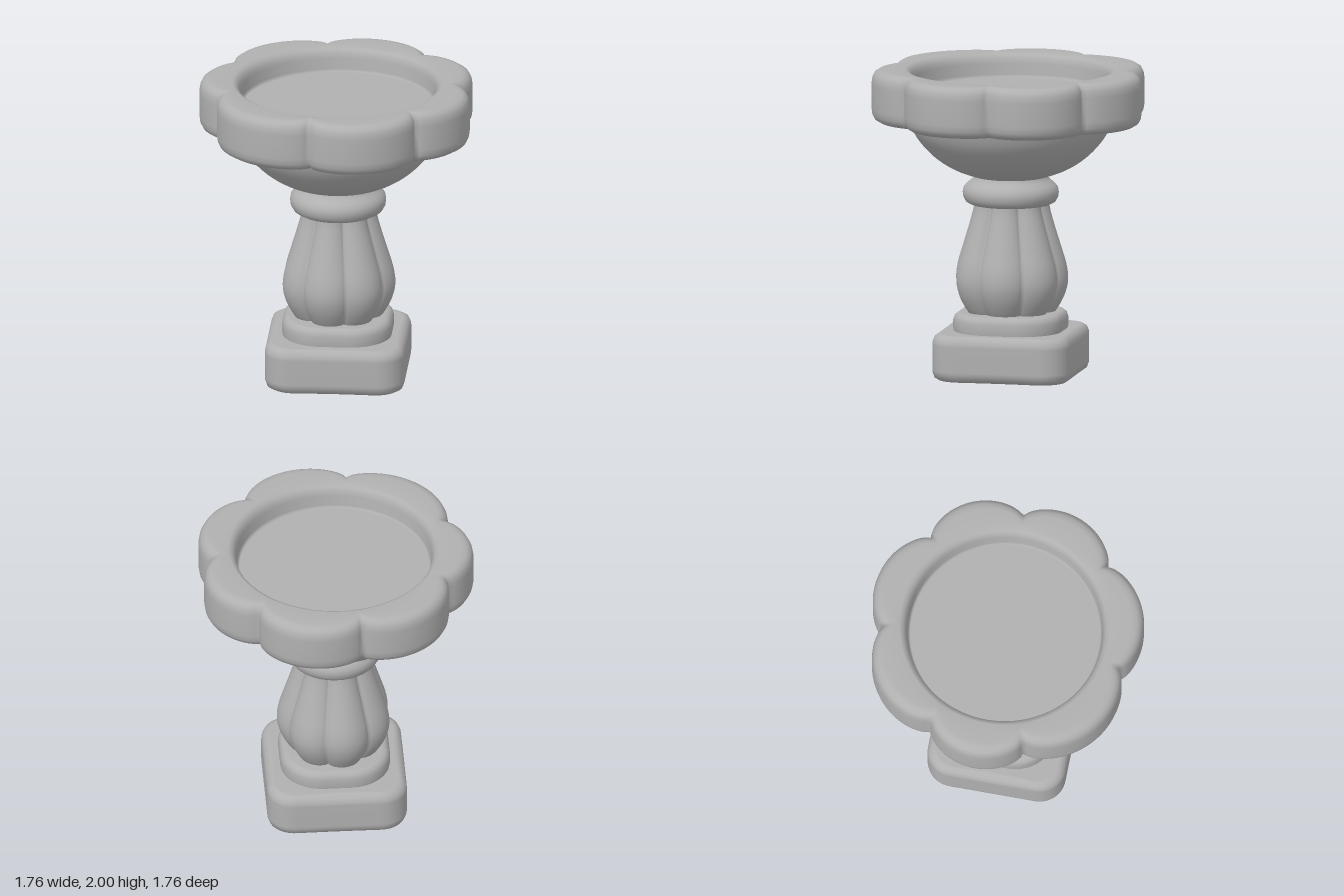
import * as THREE from 'three';

// Closed loft: profile points are [radius, y, weight]; weight scales the shape's extra radius
function loft(profile, extra = () => 0, segments = 140) {
  const pos = [], index = [];
  profile.forEach(([r, y, w = 0]) => {
    for (let j = 0; j < segments; j++) {
      const a = (j / segments) * Math.PI * 2;
      const radius = r + w * extra(a);
      pos.push(radius * Math.cos(a), y, radius * Math.sin(a));
    }
  });
  for (let i = 0; i < profile.length - 1; i++) {
    for (let j = 0; j < segments; j++) {
      const k = (j + 1) % segments;
      const a = i * segments + j, b = i * segments + k;
      const c = a + segments, d = b + segments;
      if (profile[i][0] > 0) index.push(a, d, b);
      if (profile[i + 1][0] > 0) index.push(a, c, d);
    }
  }
  const geo = new THREE.BufferGeometry();
  geo.setAttribute('position', new THREE.Float32BufferAttribute(pos, 3));
  geo.setIndex(index);
  geo.computeVertexNormals();
  return geo;
}

// Extra polar radius of a square with rounded corners over its half width
function roundedSquare(half, corner) {
  const inner = half - corner;
  return (a) => {
    const c = Math.abs(Math.cos(a)), s = Math.abs(Math.sin(a));
    const big = Math.max(c, s), small = Math.min(c, s);
    if ((half * small) / big <= inner) return half / big - half;
    const dot = inner * (c + s);
    return dot + Math.sqrt(dot * dot - 2 * inner * inner + corner * corner) - half;
  };
}

// Seven uneven petals between the notch angles (degrees)
const notches = [-2, 46.6, 99.6, 160.6, 206.6, 260.4, 312, 358, 406.6];
function petals(a) {
  const deg = (a * 180) / Math.PI;
  const i = notches.findIndex((n, k) => deg >= n && deg < notches[k + 1]);
  const t = (deg - notches[i]) / (notches[i + 1] - notches[i]);
  return 0.12 * Math.pow(Math.max(0, Math.sin(Math.PI * t)), 0.6);
}

// Seven soft flutes, crest on +x
const flutes = (a) => Math.pow(Math.abs(Math.cos(3.5 * a)), 0.7) - 1;

export function createModel() {
  const group = new THREE.Group();
  const stone = new THREE.MeshStandardMaterial({ color: 0xb0b0b0 });
  stone.name = 'grey stone';
  const add = (name, geo) => {
    const mesh = new THREE.Mesh(geo, stone);
    mesh.name = name;
    group.add(mesh);
  };

  // Square foot with softened edges
  add('base', loft([
    [0, 0], [0.39, 0, 1], [0.41, 0.003, 1], [0.437, 0.018, 1], [0.45, 0.05, 1], [0.452, 0.07, 1],
    [0.452, 0.235, 1], [0.45, 0.255, 1], [0.437, 0.285, 1], [0.41, 0.3, 1], [0.39, 0.303, 1], [0, 0.303],
  ], roundedSquare(0.45, 0.17)));

  // Step between foot and stem
  add('plinth', loft([
    [0.35, 0.29, 1], [0.355, 0.32, 1], [0.355, 0.37, 1], [0.345, 0.4, 1],
    [0.325, 0.415, 1], [0.3, 0.42, 1], [0, 0.42],
  ], roundedSquare(0.355, 0.27)));

  // Fluted vase-shaped stem
  const stemCurve = new THREE.SplineCurve([
    [0.275, 0.4], [0.31, 0.45], [0.35, 0.53], [0.37, 0.62], [0.36, 0.72],
    [0.325, 0.84], [0.285, 0.97], [0.255, 1.08], [0.245, 1.15],
  ].map(([r, y]) => new THREE.Vector2(r, y)));
  add('stem', loft(stemCurve.getPoints(32).map((p) => [p.x, p.y, 0.045]), flutes));

  // Rounded ring under the bowl
  add('collar', loft([
    [0, 1.12], [0.23, 1.12], [0.265, 1.123], [0.29, 1.137], [0.306, 1.165], [0.31, 1.195],
    [0.305, 1.225], [0.285, 1.25], [0.255, 1.275], [0.235, 1.295], [0.23, 1.32],
  ]));

  // Underside of the basin
  const bowlCurve = new THREE.SplineCurve([
    [0.18, 1.29], [0.25, 1.305], [0.37, 1.35], [0.475, 1.415], [0.56, 1.495], [0.625, 1.585], [0.665, 1.69],
  ].map(([r, y]) => new THREE.Vector2(r, y)));
  add('bowl', loft(bowlCurve.getPoints(24).map((p) => [p.x, p.y])));

  // Petalled rim with a rounded lip and sunken floor
  add('rim', loft([
    [0.6, 1.66], [0.7, 1.66, 0.9], [0.73, 1.664, 1], [0.76, 1.682, 1], [0.774, 1.71, 1], [0.78, 1.75, 1],
    [0.78, 1.91, 1], [0.774, 1.95, 1], [0.76, 1.978, 1], [0.735, 1.994, 1], [0.71, 2, 0.9],
    [0.68, 1.998], [0.655, 1.985], [0.64, 1.96], [0.632, 1.93], [0.625, 1.86], [0.62, 1.845], [0.61, 1.84], [0, 1.84],
  ], petals, 224));

  return group;
}
